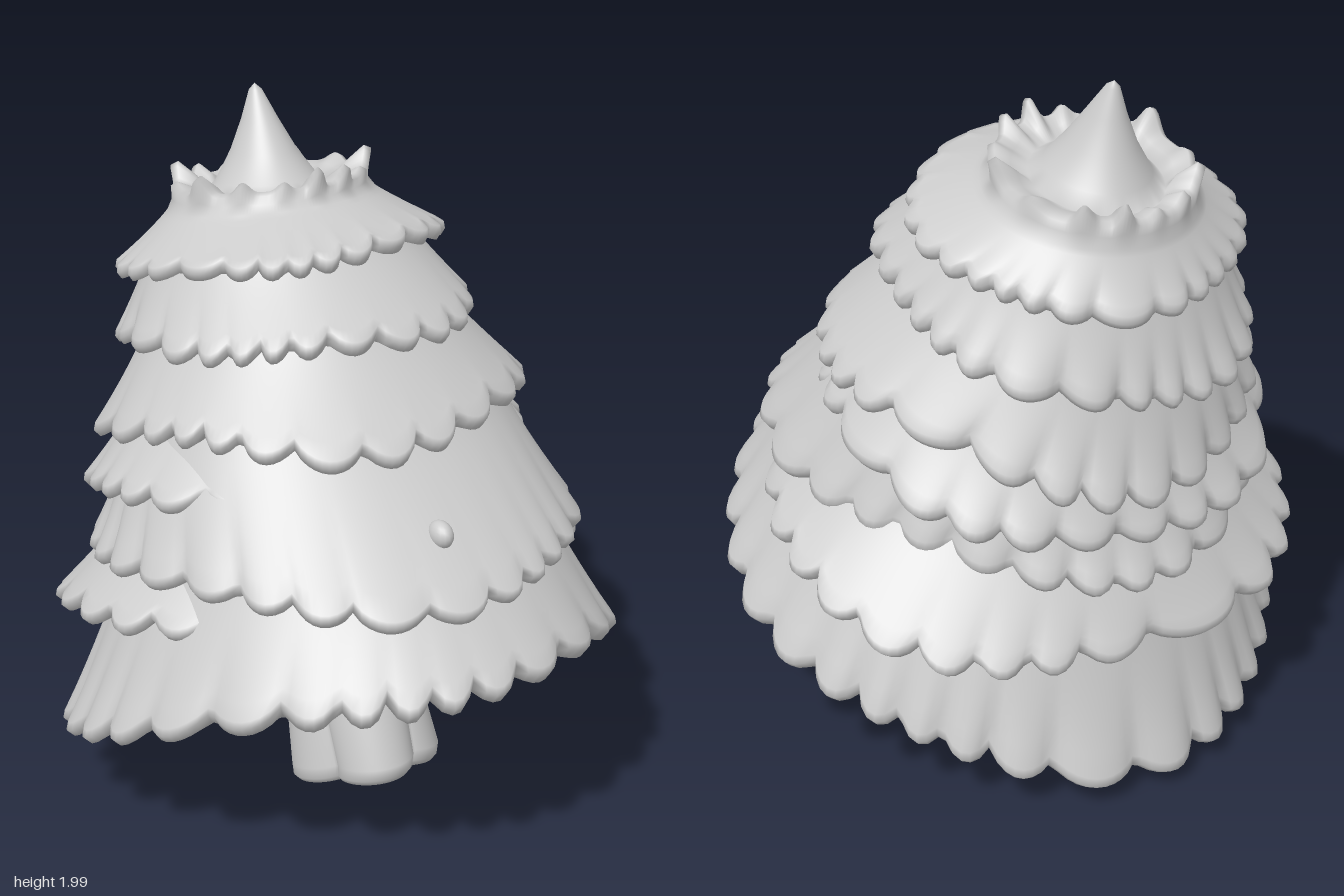
import * as THREE from 'three';

const SEG = 200;
const mix = (a, b, t) => a + (b - a) * t;

// A tilted ring: half width, front (z, y), back (z, y), x offset, lift at the sides
const ring = (hw, zf, yf, zb, yb, cx = 0, lift = 0) => ({ hw, zf, yf, zb, yb, cx, lift });
const mixRing = (a, b, t, u = t) => ring(
  mix(a.hw, b.hw, t), mix(a.zf, b.zf, t), mix(a.yf, b.yf, u),
  mix(a.zb, b.zb, t), mix(a.yb, b.yb, u), mix(a.cx, b.cx, t), mix(a.lift, b.lift, u));

// Shrink a ring toward its own centre and shift it vertically
function inset(r, k, dy) {
  const z = (r.zf + r.zb) / 2, y = (r.yf + r.yb) / 2;
  return ring(r.hw * k, mix(z, r.zf, k), mix(y, r.yf, k) + dy,
    mix(z, r.zb, k), mix(y, r.yb, k) + dy, r.cx, r.lift);
}

// Uneven rounded lobes around a rim, centred near zero
const lobes = (n, seed) => a => {
  const w = a * n / 2 + 0.9 * Math.sin(3 * a + seed) + 0.6 * Math.sin(5 * a + seed * 2);
  return Math.pow(Math.abs(Math.sin(w)), 0.7) - 0.65 + 0.3 * Math.sin(4 * a + seed * 3);
};

// Uneven sharp points around the crown
const spikes = a => Math.pow(Math.abs(Math.cos(7 * a + 0.9 * Math.sin(2 * a))), 4)
  * (0.65 + 0.35 * Math.sin(5 * a + 1));

// Loft through sections listed from the top outside to the bottom inside.
// Each section: { r: ring, out(a): radial offset, up(a): height offset }
// Columns facing the front beyond the gap cosine are left out
function loft(sections, gap = 2) {
  const pos = [], idx = [];
  for (const { r, out, up } of sections) {
    for (let j = 0; j < SEG; j++) {
      const a = j / SEG * Math.PI * 2, s = Math.sin(a), c = Math.cos(a);
      const o = out ? out(a) : 0;
      pos.push(r.cx + (r.hw + o) * s,
        mix(r.yb, r.yf, (1 + c) / 2) + r.lift * s * s + (up ? up(a) : 0),
        (r.zf + r.zb) / 2 + ((r.zf - r.zb) / 2 + o) * c);
    }
  }
  for (let i = 0; i < sections.length - 1; i++) {
    for (let j = 0; j < SEG; j++) {
      if (Math.cos((j + 0.5) / SEG * Math.PI * 2) > gap) continue;
      const k = (j + 1) % SEG, a = i * SEG + j, b = i * SEG + k;
      idx.push(a, a + SEG, b, b, a + SEG, b + SEG);
    }
  }
  const g = new THREE.BufferGeometry();
  g.setAttribute('position', new THREE.Float32BufferAttribute(pos, 3));
  g.setIndex(idx);
  g.computeVertexNormals();
  return g;
}

// Skirt of branches from a top ring out to a scalloped rim and back under it
function skirt(top, rim, { n, seed, amp = 0.045, drop = 0.035, lip = 0.04, tuck = 0.78 }) {
  const f = lobes(n, seed), out = [];
  const add = (r, w) => out.push({ r, out: a => amp * w * f(a), up: a => -drop * w * f(a) });
  for (let i = 0; i <= 8; i++) {
    const s = i / 8;
    add(mixRing(top, rim, Math.pow(s, 1.1), s), s * s * s);
  }
  add(inset(rim, 1.005, -lip * 0.5), 1.05);
  add(inset(rim, 0.98, -lip), 1);
  add(inset(rim, 0.93, -lip * 0.8), 0.6);
  add(inset(rim, 0.85, -lip * 0.4), 0);
  add(inset(rim, tuck, -lip * 0.2), 0);
  return out;
}

export function createModel() {
  const tree = new THREE.Group();
  tree.name = 'leaningTree';
  const grey = new THREE.MeshStandardMaterial({ color: 0xcccccc });
  grey.name = 'pale grey';
  const add = (name, geometry) => {
    const m = new THREE.Mesh(geometry, grey);
    m.name = name;
    tree.add(m);
    return m;
  };

  // Crown: centre peak, hollow around it, jagged edge, then the first skirt
  const neck = ring(0.3, -0.1, 1.74, -0.67, 1.62, -0.02);
  const edge = ring(0.275, -0.13, 1.79, -0.66, 1.69, -0.02);
  const peak = [
    ring(0, -0.46, 2, -0.46, 2, -0.03),
    ring(0.018, -0.435, 1.985, -0.475, 1.98, -0.03),
    ring(0.05, -0.375, 1.91, -0.49, 1.9, -0.03),
    ring(0.09, -0.31, 1.83, -0.515, 1.81, -0.03),
    ring(0.14, -0.25, 1.765, -0.55, 1.72, -0.03),
    ring(0.18, -0.21, 1.745, -0.58, 1.67, -0.03)
  ].map(r => ({ r }));
  add('crown', loft([
    ...peak,
    { r: inset(edge, 0.8, -0.01), up: a => 0.025 * spikes(a) },
    { r: inset(edge, 0.95, 0), up: a => 0.06 * spikes(a), out: a => 0.015 * spikes(a) },
    { r: inset(edge, 1.01, -0.01), up: a => 0.06 * spikes(a), out: a => 0.02 * spikes(a) },
    { r: inset(edge, 1.02, -0.035), up: a => 0.01 * spikes(a) },
    ...skirt(neck, ring(0.45, 0.1, 1.68, -0.74, 1.49, -0.03),
      { n: 26, seed: 1, amp: 0.035, drop: 0.02 })
  ]));

  // Lower skirts, from the top down; two of them open where the front covers them
  const tiers = [
    ['upperBranches',
      ring(0.38, 0.03, 1.66, -0.69, 1.48, -0.03), ring(0.49, 0.26, 1.48, -0.77, 1.23, -0.03, 0.05),
      { n: 26, seed: 2 }],
    ['middleBranches',
      ring(0.42, 0.16, 1.47, -0.7, 1.22, -0.02, 0.05), ring(0.59, 0.4, 1.23, -0.76, 0.97, -0.015, 0.09),
      { n: 24, seed: 3, drop: 0.045 }],
    ['innerBranches',
      ring(0.5, 0.25, 1.22, -0.68, 0.98, -0.02, 0.09), ring(0.64, 0.36, 1.12, -0.75, 0.82, -0.03, 0.05),
      { n: 22, seed: 4 }, 0.8],
    ['frontBranches',
      ring(0.51, 0.32, 1.23, -0.67, 0.88, -0.02, 0.13), ring(0.66, 0.7, 0.88, -0.74, 0.7, -0.03, 0.07),
      { n: 26, seed: 5 }],
    ['sideBranches',
      ring(0.56, 0.38, 0.93, -0.68, 0.7, -0.01, 0.07), ring(0.78, 0.45, 0.82, -0.79, 0.5, 0, 0.02),
      { n: 24, seed: 6, amp: 0.05, drop: 0.045, tuck: 0.68 }, 0.8]
  ];
  for (const [name, top, rim, shape, gap] of tiers) {
    add(name, loft(skirt(top, rim, shape), gap));
  }

  // Bottom skirt, closed by a slightly bulging underside
  const base = ring(0.775, 0.79, 0.69, -0.78, 0.115, -0.03);
  add('bottomBranches', loft([
    ...skirt(ring(0.57, 0.6, 0.9, -0.68, 0.56, -0.02, 0.12), base,
      { n: 30, seed: 7, amp: 0.05, drop: 0.045, lip: 0.045, tuck: 0.82 }),
    { r: inset(base, 0.74, -0.05) },
    { r: inset(base, 0.4, -0.08) },
    { r: inset(base, 0, -0.08) }
  ]));

  // Lobed trunk leaning with the tree, with a rounded foot
  const foot = ring(0.19, 0.32, 0.14, -0.1, 0.005, -0.005);
  const head = ring(0.18, 0.21, 0.49, -0.18, 0.35, -0.005);
  const lobe = w => a => w * (Math.pow(Math.abs(Math.cos(2 * a + 0.7)), 0.8) - 0.7);
  add('trunk', loft([
    { r: head, out: lobe(0.03) },
    { r: mixRing(head, foot, 0.5), out: lobe(0.04) },
    { r: inset(foot, 1.01, 0.05), out: lobe(0.06) },
    { r: inset(foot, 0.99, 0.015), out: lobe(0.06) },
    { r: inset(foot, 0.92, 0), out: lobe(0.06) },
    { r: inset(foot, 0.75, -0.005), out: lobe(0.05) },
    { r: inset(foot, 0, 0.02) }
  ]));

  // Small knot standing out on the front
  const knot = add('knot', new THREE.SphereGeometry(0.035, 16, 12));
  knot.scale.set(0.9, 1.1, 1.3);
  knot.position.set(-0.04, 1.01, 0.55);

  return tree;
}
